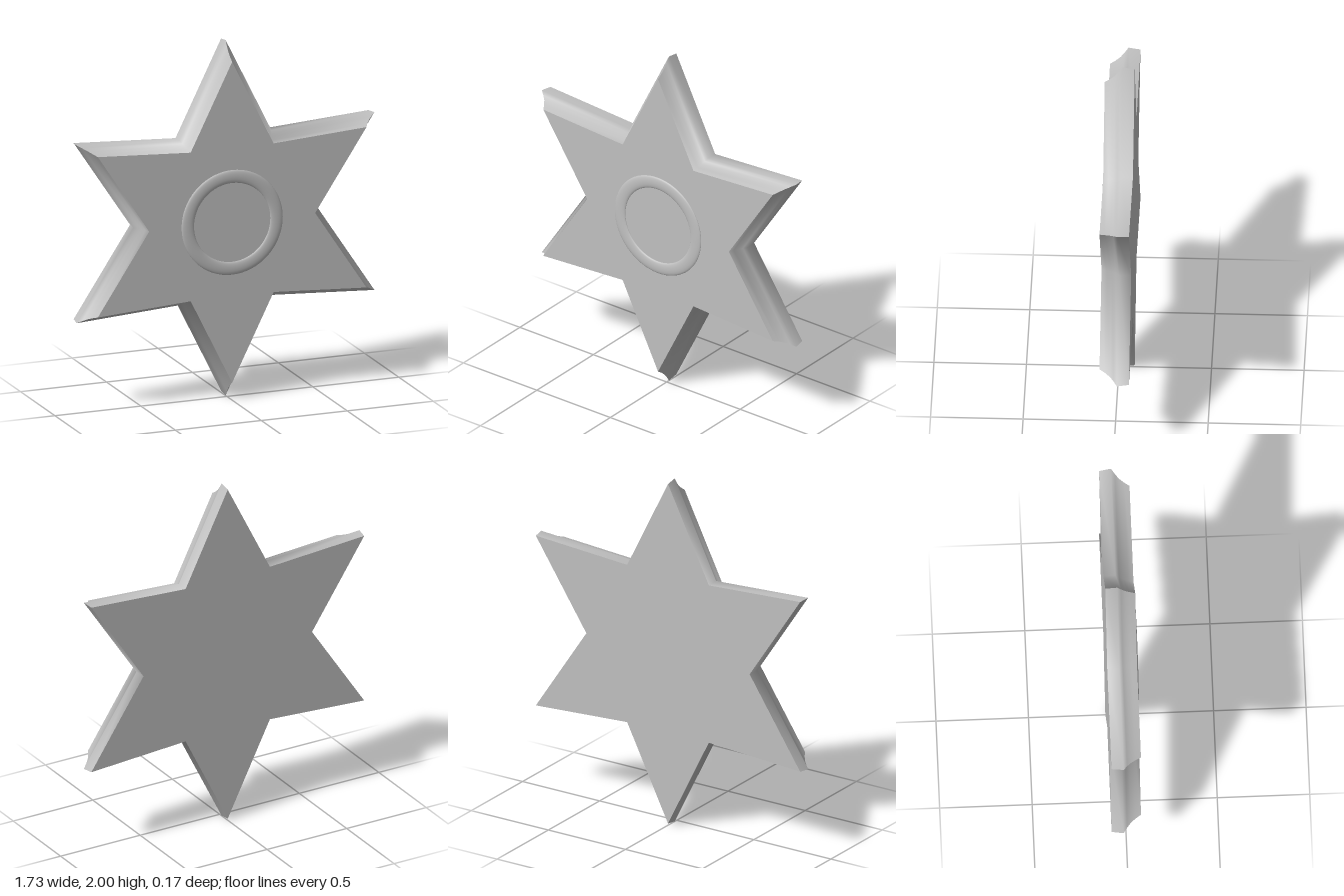
import * as THREE from 'three';

const TIP = 1.0, VALLEY = 0.535;
// [scale, z] of the star outline, from back to front
const PROFILE = [[0.99, -0.085], [1.0, -0.02], [0.97, 0.0], [0.945, 0.02], [0.922, 0.047], [0.902, 0.077]];

function starPoint(step, scale) {
  // odd steps are tips, even steps are valleys
  const r = (step % 2 ? TIP : VALLEY) * scale, a = step * Math.PI / 6;
  return new THREE.Vector2(r * Math.cos(a), r * Math.sin(a));
}

function starFace(scale) {
  const pts = [];
  for (let s = 0; s < 12; s++) pts.push(starPoint(s, scale));
  return new THREE.ShapeGeometry(new THREE.Shape(pts));
}

// Edge wall from tip to valley to tip: smooth in the valley, sharp at the tips
function edgeWall() {
  const pos = [], index = [];
  for (const [scale, z] of PROFILE) {
    for (let s = -1; s <= 1; s++) {
      const p = starPoint(s, scale);
      pos.push(p.x, p.y, z);
    }
  }
  for (let j = 0; j < PROFILE.length - 1; j++) {
    for (let i = 0; i < 2; i++) {
      const a = j * 3 + i, b = a + 1, d = a + 3, c = d + 1;
      index.push(a, b, c, a, c, d);
    }
  }
  const g = new THREE.BufferGeometry();
  g.setAttribute('position', new THREE.Float32BufferAttribute(pos, 3));
  g.setIndex(index);
  g.computeVertexNormals();
  return g;
}

export function createModel() {
  const metal = new THREE.MeshStandardMaterial({ color: 0xc0c0c0 });
  metal.name = 'light grey';
  const model = new THREE.Group();
  model.name = 'sixPointedStar';
  const add = (name, geometry) => {
    const mesh = new THREE.Mesh(geometry, metal);
    mesh.name = name;
    mesh.position.y = 1;
    model.add(mesh);
    return mesh;
  };

  // Flat faces
  const [backScale, backZ] = PROFILE[0];
  const [frontScale, frontZ] = PROFILE[PROFILE.length - 1];
  add('frontFace', starFace(frontScale)).position.z = frontZ;
  const back = add('backFace', starFace(backScale));
  back.rotation.y = Math.PI;
  back.position.z = backZ;

  // Hollow bevelled edge, one piece per valley
  const wall = edgeWall();
  for (let k = 0; k < 6; k++) add('bevelledEdge', wall).rotation.z = k * Math.PI / 3;

  // Low raised ring
  const ring = add('raisedRing', new THREE.TorusGeometry(0.258, 0.037, 16, 64));
  ring.scale.z = 0.27;
  ring.position.z = frontZ - 0.001;

  return model;
}
